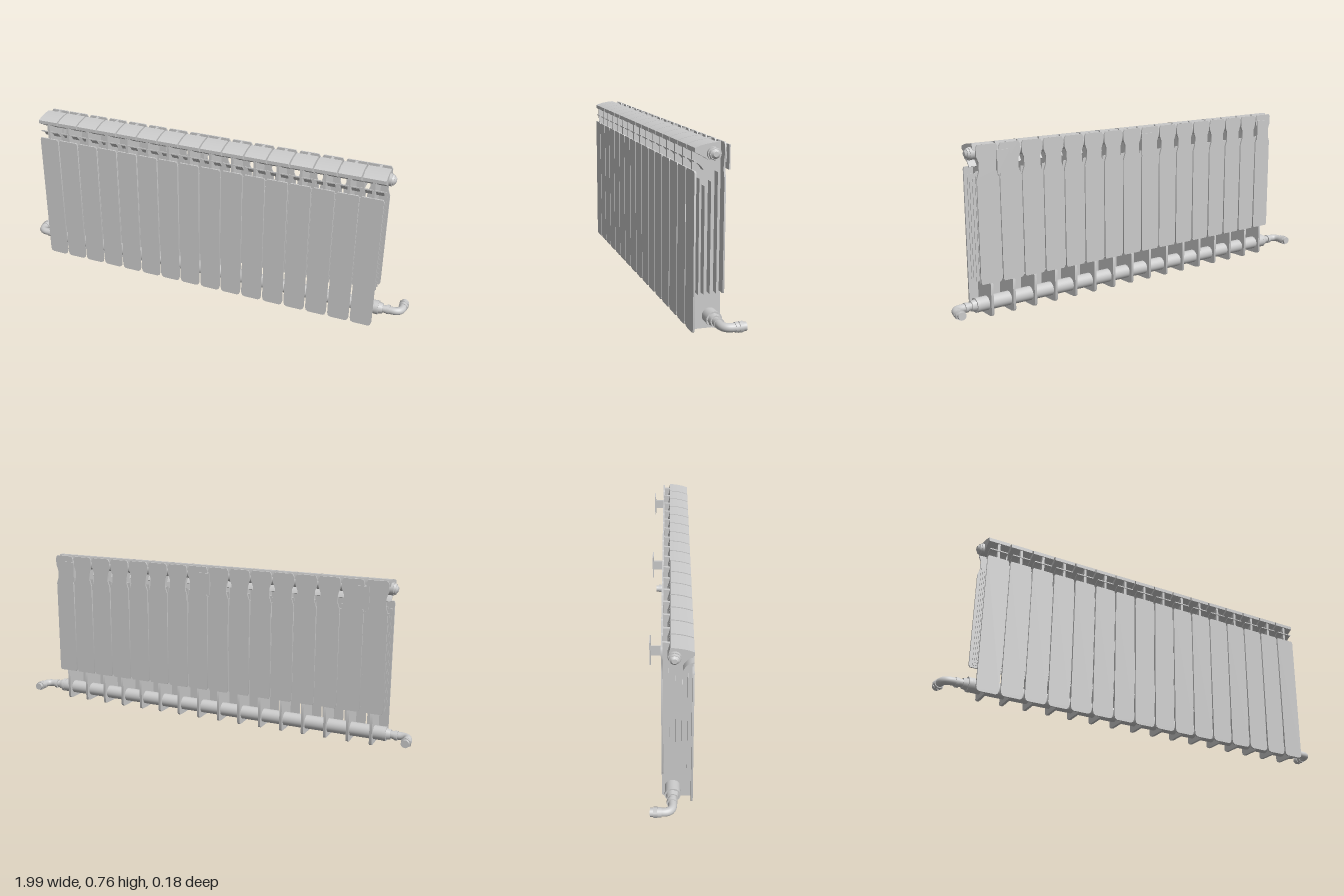
import * as THREE from 'three';
import { toCreasedNormals } from 'three/addons/utils/BufferGeometryUtils.js';

const COUNT = 16, PITCH = 0.108;
const PIPE_Y = 0.055, PIPE_Z = 0.005, TOP_Y = 0.717, TOP_Z = 0.012;
const grey = new THREE.MeshStandardMaterial({ color: 0xcccccc });

function add(parent, name, geometry, x = 0, y = 0, z = 0) {
  const mesh = new THREE.Mesh(geometry, grey);
  mesh.name = name;
  mesh.position.set(x, y, z);
  parent.add(mesh);
  return mesh;
}

function extrude(shape, depth) {
  const g = new THREE.ExtrudeGeometry(shape, { depth, bevelEnabled: false, curveSegments: 8 });
  return toCreasedNormals(g.translate(0, 0, -depth / 2), 0.6);
}

// Side profile drawn in (z, y), extruded along x
const sideways = (shape, width) => extrude(shape, width).rotateY(-Math.PI / 2);

const polygon = (points) => new THREE.Shape(points.map(([a, b]) => new THREE.Vector2(a, b)));

// Left-right symmetric outline from its right half, bottom to top
const mirrored = (half) => polygon([...half, ...half.map(([x, y]) => [-x, y]).reverse()]);

// Cylinder along the x axis
const rodX = (r, length, sides = 24, r2 = r) =>
  new THREE.CylinderGeometry(r2, r, length, sides).rotateZ(-Math.PI / 2);

const rodZ = (r, length, sides = 24) =>
  new THREE.CylinderGeometry(r, r, length, sides).rotateX(Math.PI / 2);

function sectionGeometries() {
  const frontPanel = extrude(mirrored([[0.036, 0], [0.046, 0.006], [0.05, 0.02], [0.05, 0.64], [0.046, 0.65]]), 0.008);

  // Back panel with a notch on each side near the top
  const backPanel = extrude(mirrored([
    [0.045, 0.155], [0.05, 0.165], [0.05, 0.615], [0.04, 0.645], [0.04, 0.685],
    [0.05, 0.71], [0.05, 0.745], [0.043, 0.758],
  ]), 0.007);

  const web = sideways(polygon([
    [0.085, 0.002], [0.085, 0.735], [0.03, 0.752], [-0.036, 0.757],
    [-0.036, 0.16], [-0.04, 0.15], [-0.04, 0.014], [-0.034, 0.005], [-0.02, 0.002],
  ]), 0.012);

  // Domed hood with a sloping underside
  const hoodShape = new THREE.Shape();
  hoodShape.moveTo(0.088, 0.725);
  hoodShape.lineTo(0.088, 0.741);
  hoodShape.quadraticCurveTo(0.05, 0.757, -0.004, 0.76);
  hoodShape.lineTo(-0.014, 0.72);
  hoodShape.quadraticCurveTo(-0.008, 0.692, 0.016, 0.689);
  hoodShape.quadraticCurveTo(0.03, 0.69, 0.04, 0.698);
  const hood = sideways(hoodShape, 0.101);

  // Curved air guide below the hood
  const guideShape = new THREE.Shape();
  guideShape.moveTo(0.088, 0.69);
  guideShape.quadraticCurveTo(0.06, 0.686, 0.045, 0.654);
  guideShape.lineTo(0.049, 0.652);
  guideShape.quadraticCurveTo(0.064, 0.68, 0.088, 0.685);
  const guide = sideways(guideShape, 0.084);

  return { frontPanel, backPanel, web, hood, guide };
}

// Valve fitting and elbow on the +x end
function connector() {
  const g = new THREE.Group();
  g.name = 'pipeConnector';
  const r = 0.018, ex = 0.976;
  add(g, 'flange', rodX(0.033, 0.014), 0.866, PIPE_Y, PIPE_Z);
  add(g, 'flangeNut', rodX(0.028, 0.02, 8, 0.024), 0.883, PIPE_Y, PIPE_Z);
  add(g, 'union', rodX(0.022, 0.014), 0.917, PIPE_Y, 0.0025);
  const path = new THREE.CurvePath();
  const v = (x, z) => new THREE.Vector3(x, PIPE_Y, z);
  path.add(new THREE.LineCurve3(v(0.87, PIPE_Z), v(0.935, PIPE_Z)));
  path.add(new THREE.QuadraticBezierCurve3(v(0.935, PIPE_Z), v(ex, PIPE_Z), v(ex, -0.036)));
  path.add(new THREE.LineCurve3(v(ex, -0.036), v(ex, -0.055)));
  add(g, 'elbow', new THREE.TubeGeometry(path, 40, r, 20));
  add(g, 'collar', rodZ(0.021, 0.015), ex, PIPE_Y, -0.048);
  add(g, 'nut', rodZ(0.024, 0.016, 6), ex, PIPE_Y, -0.065);
  add(g, 'pipeEnd', rodZ(r, 0.034), ex, PIPE_Y, -0.07);
  return g;
}

// Blanking plug on the +x end of the top pipe
function plug() {
  const g = new THREE.Group();
  g.name = 'topPlug';
  add(g, 'plugFlange', rodX(0.028, 0.012), 0.866, TOP_Y, TOP_Z);
  add(g, 'plugNut', rodX(0.026, 0.01, 8, 0.023), 0.876, TOP_Y, TOP_Z);
  add(g, 'plugCap', rodX(0.02, 0.008, 8, 0.011), 0.885, TOP_Y, TOP_Z);
  return g;
}

export function createModel() {
  const model = new THREE.Group();
  model.name = 'radiator';
  const geo = sectionGeometries();
  // Fins: depth position, top height
  const fins = [[0.065, 0.62], [0.043, 0.59], [0.017, 0.607], [-0.01, 0.643]];
  const finGeometries = fins.map(([, top]) => new THREE.BoxGeometry(0.086, top - 0.155, 0.003));

  for (let i = 0; i < COUNT; i++) {
    const s = new THREE.Group();
    s.name = 'section' + (i + 1);
    s.position.x = (i - (COUNT - 1) / 2) * PITCH;
    add(s, 'frontPanel', geo.frontPanel, 0, 0, 0.085);
    add(s, 'backPanel', geo.backPanel, 0, 0, -0.0365);
    add(s, 'web', geo.web);
    add(s, 'hood', geo.hood);
    add(s, 'airGuide', geo.guide);
    fins.forEach(([z, top], k) => add(s, 'fin', finGeometries[k], 0, (top + 0.155) / 2, z));
    model.add(s);
  }

  // Horizontal water pipes
  add(model, 'bottomPipe', rodX(0.032, 1.724, 32), 0, PIPE_Y, PIPE_Z);
  add(model, 'topPipe', rodX(0.027, 1.724, 32), 0, TOP_Y, TOP_Z);

  // End fittings, turned about y with z kept by mirroring
  for (const side of [1, -1]) {
    for (const part of [connector(), plug()]) {
      part.scale.x = side;
      model.add(part);
    }
  }

  // Wall brackets in the gaps between sections
  for (const x of [-7 * PITCH, 0, 7 * PITCH]) {
    const b = new THREE.Group();
    b.name = 'wallBracket';
    b.position.x = x;
    add(b, 'wallPlate', new THREE.BoxGeometry(0.062, 0.1, 0.005), 0, 0.687, -0.0825);
    add(b, 'bracketArm', new THREE.BoxGeometry(0.006, 0.043, 0.125), 0, 0.6845, -0.02);
    model.add(b);
  }
  return model;
}
